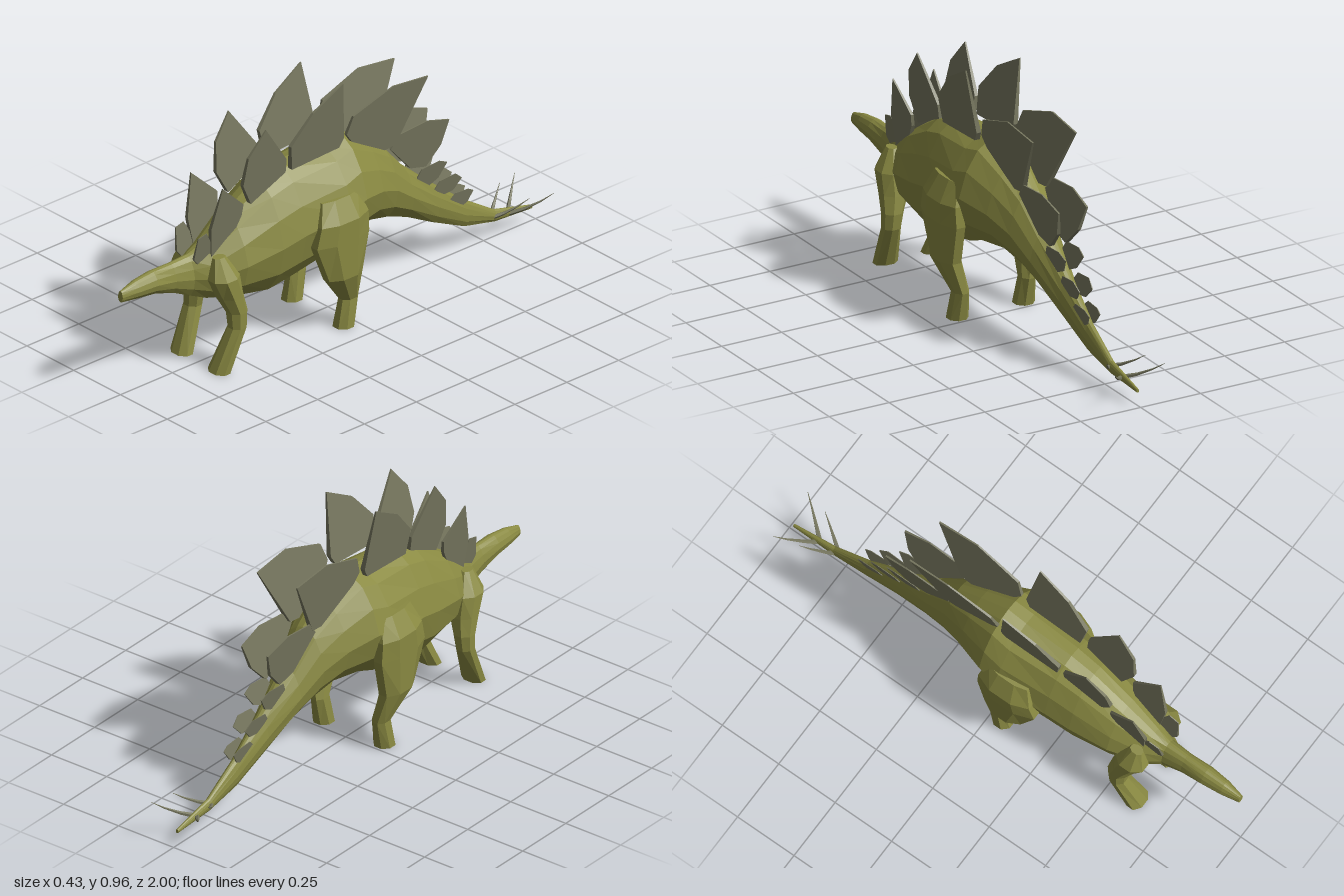
import * as THREE from 'three';

const skin = new THREE.MeshStandardMaterial({ color: 0x8a8a42, flatShading: true });
const horn = new THREE.MeshStandardMaterial({ color: 0x77775f, flatShading: true });

// Closed skin over a run of rings (equal point counts), capped at both ends.
function loft(rings, material, name) {
  const tris = [];
  const n = rings[0].length;
  for (let i = 0; i + 1 < rings.length; i++) {
    for (let j = 0; j < n; j++) {
      const k = (j + 1) % n;
      const a = rings[i][j], b = rings[i][k], c = rings[i + 1][k], d = rings[i + 1][j];
      tris.push([a, b, c], [a, c, d]);
    }
  }
  const cap = (ring, flip) => {
    const mid = ring.reduce((m, p) => m.add(p), new THREE.Vector3()).divideScalar(n);
    ring.forEach((p, j) => {
      const q = ring[(j + 1) % n];
      tris.push(flip ? [mid, q, p] : [mid, p, q]);
    });
  };
  cap(rings[0], true);
  cap(rings[rings.length - 1], false);

  // Turn every face outward, whichever way the rings run
  const cross = new THREE.Vector3();
  const volume = tris.reduce((v, [a, b, c]) => v + a.dot(cross.crossVectors(b, c)), 0);
  if (volume < 0) tris.forEach((t) => t.reverse());

  const geometry = new THREE.BufferGeometry().setFromPoints(tris.flat());
  geometry.computeVertexNormals();
  const mesh = new THREE.Mesh(geometry, material);
  mesh.name = name;
  return mesh;
}

// Body sections: z, top, bottom, half width
const BODY = [
  [1.0, 0.42, 0.375, 0.013], [0.93, 0.44, 0.368, 0.029], [0.85, 0.45, 0.36, 0.037],
  [0.76, 0.45, 0.33, 0.036], [0.68, 0.455, 0.29, 0.045], [0.62, 0.475, 0.265, 0.085],
  [0.5, 0.56, 0.235, 0.13], [0.35, 0.65, 0.208, 0.155], [0.25, 0.68, 0.225, 0.165],
  [0.05, 0.695, 0.27, 0.188], [-0.03, 0.713, 0.3, 0.178], [-0.15, 0.64, 0.312, 0.135],
  [-0.25, 0.57, 0.285, 0.1], [-0.35, 0.455, 0.245, 0.073], [-0.5, 0.325, 0.165, 0.042],
  [-0.65, 0.205, 0.095, 0.024], [-0.8, 0.11, 0.062, 0.015], [-0.98, 0.065, 0.05, 0.006],
];
// Half outline of one section, from the spine to the belly
const SECTION = [[0, 1], [0.25, 0.95], [0.56, 0.78], [0.83, 0.42], [1, -0.05], [0.85, -0.55], [0.45, -0.93], [0, -1]];

function bodyRing([z, top, bottom, w]) {
  const outline = [...SECTION, ...SECTION.slice(1, -1).reverse().map(([x, y]) => [-x, y])];
  const mid = (top + bottom) / 2, half = (top - bottom) / 2;
  return outline.map(([x, y]) => new THREE.Vector3(x * w, mid + y * half, z));
}

// Leg sections: y, inner x, outer x, back z, front z
const FRONT_LEG = [
  [0.45, 0.065, 0.1, 0.575, 0.625], [0.37, 0.05, 0.145, 0.53, 0.65], [0.29, 0.045, 0.148, 0.515, 0.61],
  [0.225, 0.075, 0.152, 0.505, 0.58], [0.165, 0.085, 0.152, 0.51, 0.577], [0, 0.055, 0.145, 0.582, 0.648],
];
const HIND_LEG = [
  [0.54, 0.13, 0.172, 0.0, 0.17], [0.46, 0.13, 0.215, -0.025, 0.2], [0.38, 0.125, 0.214, -0.03, 0.22],
  [0.23, 0.125, 0.212, 0.0, 0.16], [0.11, 0.11, 0.168, -0.01, 0.065], [0, 0.1, 0.176, 0.01, 0.088],
];

function leg(sections, side, name) {
  const rings = sections.map(([y, x0, x1, z0, z1]) => Array.from({ length: 8 }, (_, i) => {
    const a = ((i + 0.5) / 8) * Math.PI * 2, r = 0.5 / Math.cos(Math.PI / 8);
    return new THREE.Vector3(
      side * ((x0 + x1) / 2 + Math.cos(a) * r * (x1 - x0)), y,
      (z0 + z1) / 2 + Math.sin(a) * r * (z1 - z0));
  }));
  return loft(rings, skin, name);
}

// Back plates, neck to tail: base x, tip x and side outline as [z, y]
const PLATES = [
  [0.042, 0.062, [[0.69, 0.455], [0.68, 0.54], [0.64, 0.55], [0.615, 0.5], [0.61, 0.46], [0.67, 0.43]]],
  [0.045, 0.085, [[0.625, 0.56], [0.585, 0.72], [0.475, 0.615], [0.48, 0.57], [0.51, 0.51], [0.61, 0.43]]],
  [0.06, 0.1, [[0.48, 0.69], [0.465, 0.8], [0.39, 0.895], [0.275, 0.73], [0.275, 0.675], [0.435, 0.6]]],
  [0.07, 0.113, [[0.26, 0.775], [0.165, 0.885], [0.03, 0.96], [0, 0.72], [0.02, 0.685], [0.245, 0.675]]],
  [0.05, 0.093, [[-0.02, 0.72], [-0.045, 0.79], [-0.23, 0.85], [-0.4, 0.83], [-0.27, 0.585], [-0.22, 0.58], [-0.05, 0.68]]],
  [0.032, 0.064, [[-0.25, 0.57], [-0.29, 0.62], [-0.42, 0.63], [-0.53, 0.595], [-0.5, 0.5], [-0.435, 0.43], [-0.36, 0.45]]],
  [0.022, 0.042, [[-0.395, 0.385], [-0.415, 0.425], [-0.5, 0.43], [-0.54, 0.41], [-0.505, 0.355], [-0.46, 0.335]]],
  [0.018, 0.033, [[-0.49, 0.31], [-0.51, 0.34], [-0.585, 0.345], [-0.62, 0.315], [-0.585, 0.275], [-0.535, 0.27]]],
  [0.014, 0.026, [[-0.565, 0.235], [-0.59, 0.26], [-0.655, 0.255], [-0.68, 0.24], [-0.655, 0.2], [-0.63, 0.19]]],
];

// A leaning slab, thick at the base and thin at the tip
function plate([baseX, tipX, outline], side, name) {
  const ys = outline.map((p) => p[1]);
  const low = Math.min(...ys), high = Math.max(...ys);
  const face = (offset) => outline.map(([z, y]) => {
    const t = (y - low) / (high - low);
    const thick = Math.min(0.022, 0.1 * (high - low)) * (1 - 0.75 * t);
    return new THREE.Vector3(side * (baseX + (tipX - baseX) * t + offset * thick), y, z);
  });
  return loft([face(-0.5), face(0.5)], horn, name);
}

// Curved tail spike from root z and y to tip x, y and z
function spike([z0, y0, x1, y1, z1], side, name) {
  const curve = new THREE.QuadraticBezierCurve3(
    new THREE.Vector3(0, y0, z0),
    new THREE.Vector3(side * x1 * 0.55, y0 + (y1 - y0) * 0.28, (z0 + z1) / 2),
    new THREE.Vector3(side * x1, y1, z1));
  const rings = [0, 0.35, 0.7, 1].map((t) => {
    const c = curve.getPoint(t), r = 0.009 * (1 - t) + 0.001;
    return Array.from({ length: 5 }, (_, i) => {
      const a = (i / 5) * Math.PI * 2;
      return new THREE.Vector3(c.x + side * Math.cos(a) * r * 0.7, c.y + Math.sin(a) * r, c.z + Math.cos(a) * r * 0.7);
    });
  });
  return loft(rings, horn, name);
}
const SPIKES = [[-0.78, 0.08, 0.08, 0.15, -0.9], [-0.865, 0.068, 0.105, 0.147, -0.995]];

export function createModel() {
  const model = new THREE.Group();
  model.name = 'platedDinosaur';
  model.add(loft(BODY.map(bodyRing), skin, 'body'));

  for (const [side, word] of [[1, 'left'], [-1, 'right']]) {
    model.add(leg(FRONT_LEG, side, `${word}FrontLeg`), leg(HIND_LEG, side, `${word}HindLeg`));
    PLATES.forEach((p, i) => model.add(plate(p, side, `${word}BackPlate${i + 1}`)));
    SPIKES.forEach((s, i) => model.add(spike(s, side, `${word}TailSpike${i + 1}`)));
  }
  return model;
}
